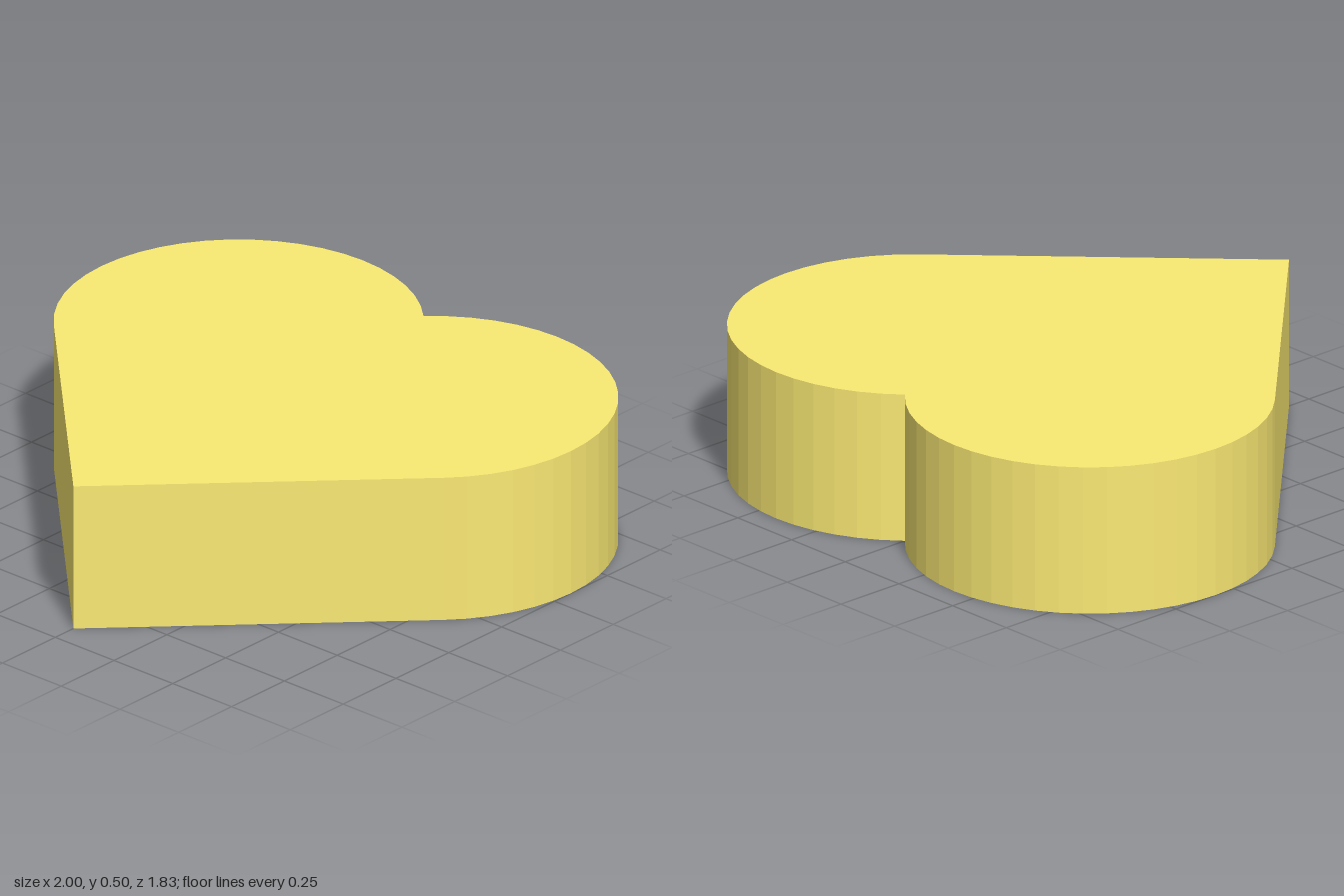
import * as THREE from 'three';

export function createModel() {
  const group = new THREE.Group();
  group.name = 'heart';

  // Heart outline: a square standing on its corner with a half circle on each upper side
  const radius = 2 - Math.SQRT2;        // makes the heart 2 wide
  const offset = radius * Math.SQRT1_2; // lobe centre from the middle line
  const depth = radius + 3 * offset;
  const centreY = depth / 2 - radius;

  const outline = new THREE.Shape();
  outline.moveTo(0, -depth / 2);
  outline.lineTo(2 * offset, centreY - offset);
  outline.absarc(offset, centreY, radius, -Math.PI / 4, Math.PI * 3 / 4, false);
  outline.absarc(-offset, centreY, radius, Math.PI / 4, Math.PI * 5 / 4, false);
  outline.lineTo(0, -depth / 2);

  // Each lobe gets 24 flat facets; the slab is laid down with its tip to the front
  const geometry = new THREE.ExtrudeGeometry(outline, { depth: 0.5, bevelEnabled: false, curveSegments: 12 });
  geometry.rotateX(-Math.PI / 2);

  const slab = new THREE.Mesh(geometry, new THREE.MeshStandardMaterial({ color: 0xfbea74, flatShading: true }));
  slab.name = 'heartSlab';
  group.add(slab);
  return group;
}
